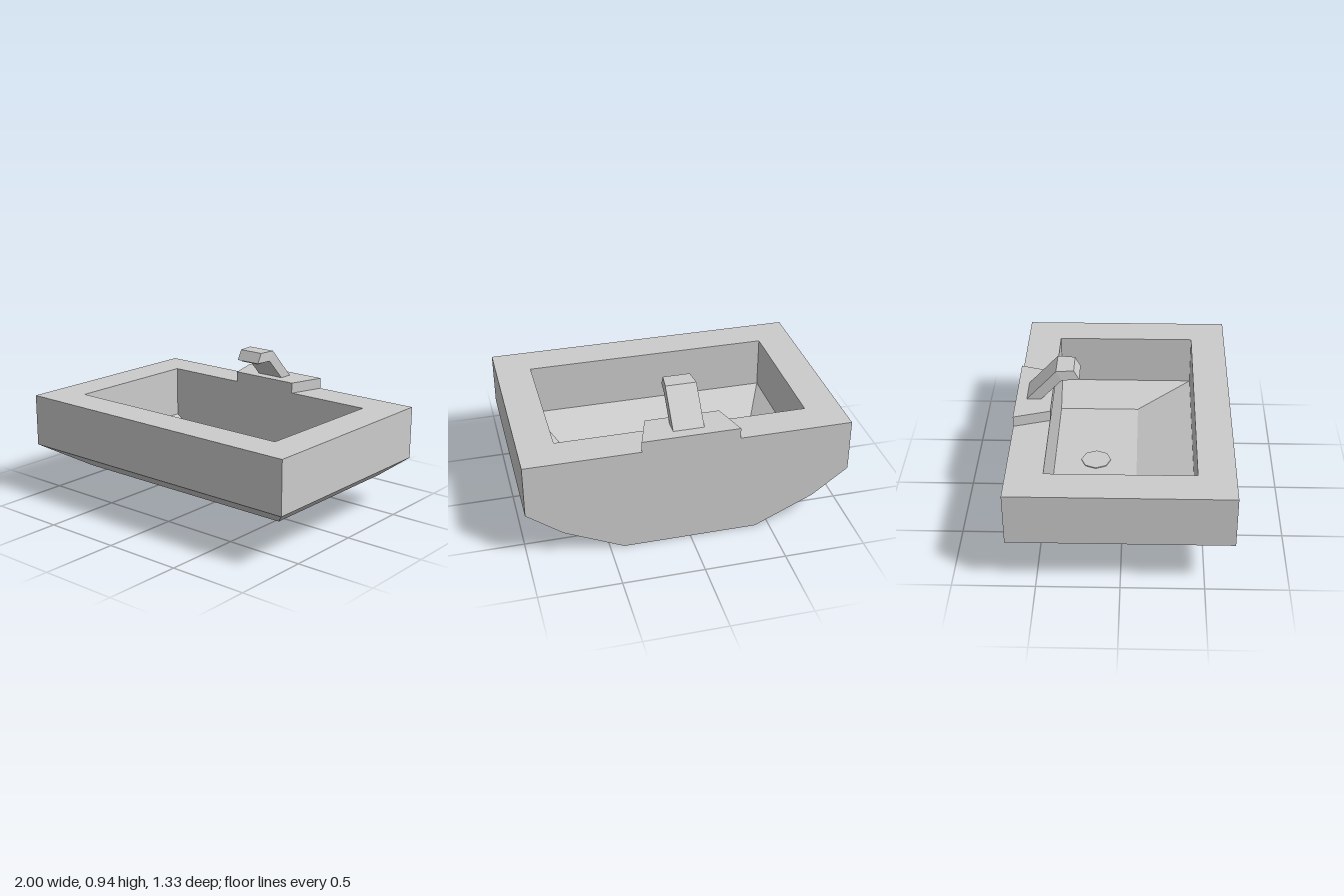
import * as THREE from 'three';

const material = new THREE.MeshStandardMaterial({ color: 0xcccccc, flatShading: true });

// Four-cornered section given by its front edge and back edge, each [halfWidth, y, z]
const ring = ([fw, fy, fz], [bw, by, bz]) => [[-fw, fy, fz], [fw, fy, fz], [bw, by, bz], [-bw, by, bz]];

// Level section at height y
const level = (y, halfWidth, front, back, backHalfWidth = halfWidth) =>
  ring([halfWidth, y, front], [backHalfWidth, y, back]);

// Skin a list of sections with flat faces and close both ends
function loft(name, rings) {
  const points = [];
  const quad = (a, b, c, d) => points.push(...a, ...b, ...c, ...a, ...c, ...d);
  for (let r = 0; r < rings.length - 1; r++) {
    const lower = rings[r], upper = rings[r + 1];
    for (let i = 0; i < 4; i++) {
      const j = (i + 1) % 4;
      quad(lower[i], lower[j], upper[j], upper[i]);
    }
  }
  quad(...[...rings[0]].reverse());
  quad(...rings[rings.length - 1]);
  const geometry = new THREE.BufferGeometry();
  geometry.setAttribute('position', new THREE.Float32BufferAttribute(points, 3));
  geometry.computeVertexNormals();
  const mesh = new THREE.Mesh(geometry, material);
  mesh.name = name;
  return mesh;
}

export function createModel() {
  const sink = new THREE.Group();
  sink.name = 'sink';
  const back = -0.667, top = 0.667, basinBack = -0.447, floorY = 0.205;

  // Basin: up the faceted outside, over the rim, down to the sloped inner floor
  sink.add(loft('basin', [
    level(0, 0.415, -0.267, back),
    level(0.17, 0.78, 0.4, back),
    level(0.335, 1, 0.667, back),
    level(top, 1, 0.667, back),
    level(top, 0.778, 0.444, basinBack),
    level(0.335, 0.778, 0.444, basinBack),
    level(floorY, 0.605, 0.085, basinBack),
  ]));

  // Raised tap deck, wider at the back
  sink.add(loft('tapDeck', [
    level(top, 0.23, -0.444, back, 0.3),
    level(0.735, 0.23, -0.444, back, 0.3),
  ]));

  // Tap: leaning neck, then a level spout that narrows to its tip
  const tap = new THREE.Group();
  tap.name = 'tap';
  tap.add(loft('spout', [
    ring([0.095, 0.735, -0.51], [0.095, 0.735, -0.6]),
    ring([0.095, 0.872, -0.38], [0.095, 0.935, -0.413]),
    ring([0.083, 0.872, -0.272], [0.083, 0.935, -0.305]),
  ]));
  const nozzle = new THREE.Mesh(new THREE.BoxGeometry(0.13, 0.012, 0.06), material);
  nozzle.name = 'nozzle';
  nozzle.position.set(0, 0.867, -0.325);
  tap.add(nozzle);
  sink.add(tap);

  // Octagonal drain set on the basin floor
  const drain = new THREE.Mesh(new THREE.CylinderGeometry(0.096, 0.096, 0.008, 8), material);
  drain.name = 'drain';
  drain.position.set(0, floorY + 0.002, -0.18);
  sink.add(drain);

  return sink;
}
